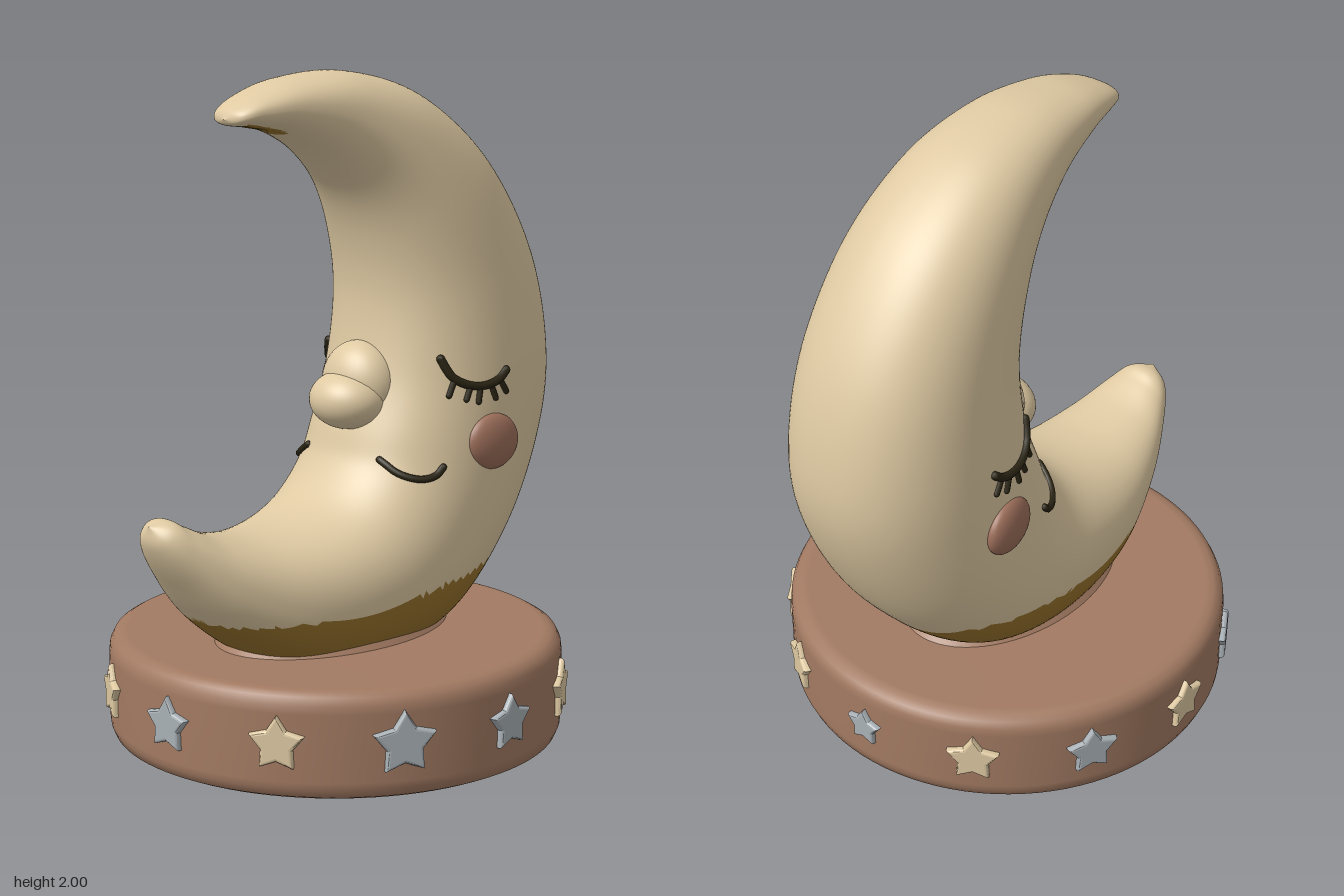
import * as THREE from 'three';

const mat = (name, color) => {
  const m = new THREE.MeshStandardMaterial({ color });
  m.name = name;
  return m;
};

// Crescent sections from upper tip to lower tip: outer x, y, inner x, y, half depth
const SECTIONS = [
  [-0.463, 1.88, -0.463, 1.88, 0],
  [-0.44, 1.912, -0.445, 1.862, 0.065],
  [-0.36, 1.953, -0.38, 1.853, 0.1],
  [-0.22, 1.99, -0.27, 1.828, 0.135],
  [0.0, 2.0, -0.13, 1.755, 0.175],
  [0.25, 1.928, -0.01, 1.64, 0.22],
  [0.5, 1.735, 0.06, 1.49, 0.26],
  [0.69, 1.44, 0.087, 1.31, 0.287],
  [0.762, 1.12, 0.06, 1.1, 0.308],
  [0.72, 0.85, 0.0, 0.93, 0.318],
  [0.56, 0.55, -0.04, 0.83, 0.322],
  [0.31, 0.31, -0.13, 0.74, 0.317],
  [0.0, 0.23, -0.25, 0.69, 0.295],
  [-0.3, 0.26, -0.4, 0.675, 0.25],
  [-0.53, 0.40, -0.55, 0.70, 0.185],
  [-0.68, 0.57, -0.65, 0.743, 0.12],
  [-0.752, 0.685, -0.70, 0.768, 0.07],
  [-0.758, 0.755, -0.758, 0.755, 0],
];

function moonGeometry() {
  const outer = new THREE.CatmullRomCurve3(SECTIONS.map(s => new THREE.Vector3(s[0], s[1], s[4])), false, 'catmullrom');
  const inner = new THREE.CatmullRomCurve3(SECTIONS.map(s => new THREE.Vector3(s[2], s[3], 0)), false, 'catmullrom');
  const rows = 170, cols = 96, pos = [];
  const soft = v => Math.sign(v) * Math.abs(v) ** 0.88;
  for (let r = 0; r <= rows; r++) {
    const o = outer.getPoint(r / rows), i = inner.getPoint(r / rows);
    for (let c = 0; c < cols; c++) {
      const a = (c / cols) * Math.PI * 2, k = soft(Math.cos(a)) / 2;
      pos.push((o.x + i.x) / 2 + (o.x - i.x) * k, (o.y + i.y) / 2 + (o.y - i.y) * k, Math.max(o.z, 0) * soft(Math.sin(a)));
    }
  }
  // Faces near the foot, and a spot under the upper tip, take the second colour
  const body = [], band = [];
  const painted = (x, y, z, inside) => {
    const limit = 0.44 + 0.065 * THREE.MathUtils.smoothstep(x, -0.2, 0.42) - 0.05 * THREE.MathUtils.smoothstep(x, 0.44, 0.54);
    return y < limit || (inside && y > 1.8 && x > -0.42 && x < -0.27 && Math.abs(z) < 0.06);
  };
  const tri = (...t) => {
    const mid = k => (pos[t[0] * 3 + k] + pos[t[1] * 3 + k] + pos[t[2] * 3 + k]) / 3;
    const col = t[0] % cols;
    (painted(mid(0), mid(1), mid(2), col > cols / 4 && col < cols * 0.75) ? band : body).push(...t);
  };
  for (let r = 0; r < rows; r++) {
    for (let c = 0; c < cols; c++) {
      const n = (c + 1) % cols, p = r * cols, q = p + cols;
      tri(p + c, p + n, q + c);
      tri(p + n, q + n, q + c);
    }
  }
  const g = new THREE.BufferGeometry();
  g.setAttribute('position', new THREE.Float32BufferAttribute(pos, 3));
  g.setIndex([...body, ...band]);
  g.addGroup(0, body.length, 0);
  g.addGroup(body.length, band.length, 1);
  g.computeVertexNormals();
  return g;
}

function starGeometry(radius) {
  const s = new THREE.Shape();
  for (let i = 0; i < 10; i++) {
    const a = Math.PI / 2 + (i * Math.PI) / 5, r = i % 2 ? radius * 0.55 : radius;
    s[i ? 'lineTo' : 'moveTo'](Math.cos(a) * r, Math.sin(a) * r);
  }
  s.closePath();
  return new THREE.ExtrudeGeometry(s, { depth: 0.02, bevelThickness: 0.01, bevelSize: 0.01, bevelSegments: 3 });
}

export function createModel() {
  const cream = mat('cream', 0xdec9a2), brown = mat('brown', 0xa27a62), mustard = mat('mustard', 0x96712c);
  const silver = mat('silver', 0xa9b1b6), dark = mat('dark', 0x2a2413), blush = mat('blush', 0x9c6e5a);
  const model = new THREE.Group();
  const add = (name, geo, material, x = 0, y = 0, z = 0, parent = model) => {
    const m = new THREE.Mesh(geo, material);
    m.name = name;
    m.position.set(x, y, z);
    parent.add(m);
    return m;
  };

  // Round plinth with softened rims
  const cx = -0.028, R = 0.69;
  const profile = [[0, 0.004], [0.64, 0.004], [0.655, 0.005], [0.678, 0.016], [0.688, 0.04], [R, 0.06], [R, 0.26],
    [0.687, 0.285], [0.676, 0.307], [0.655, 0.319], [0.63, 0.322], [0.5, 0.318], [0, 0.318]];
  add('plinth', new THREE.LatheGeometry(profile.map(p => new THREE.Vector2(...p)), 96), brown, cx);
  const collar = add('collar', new THREE.CylinderGeometry(0.385, 0.43, 0.04, 64), brown, -0.04, 0.324);
  collar.scale.z = 0.66;

  // Stars around the plinth, starting at the front
  const order = [silver, cream, cream, silver, cream, silver, cream, silver, cream, silver, cream, silver];
  order.forEach((m, i) => {
    const a = (i * Math.PI) / 6 + 0.04;
    const size = i === 11 ? 0.083 : i === 3 ? 0.05 : i === 1 ? 0.077 : 0.07;
    const star = add('star', starGeometry(size), m, cx + Math.sin(a) * 0.677, 0.172, Math.cos(a) * 0.677);
    star.rotation.y = a;
  });

  // Crescent moon and nose
  const moon = add('moon', moonGeometry(), [cream, mustard]);
  const nose = add('nose', new THREE.SphereGeometry(1, 40, 28), cream, 0.025, 1.015, 0);
  nose.scale.set(0.112, 0.09, 0.125);
  const bridge = add('noseBridge', new THREE.SphereGeometry(1, 32, 24), cream, 0.075, 1.06, 0);
  bridge.scale.set(0.1, 0.13, 0.13);

  // Face features follow the moon's surface, on both sides
  const ray = new THREE.Raycaster();
  const depth = (x, y) => {
    ray.set(new THREE.Vector3(x, y, 2), new THREE.Vector3(0, 0, -1));
    const hit = ray.intersectObject(moon)[0];
    return hit ? hit.point.z : 0.1;
  };
  const lashes = [[0.205, 1.085, 0.185, 1.04], [0.25, 1.06, 0.235, 1.025], [0.285, 1.06, 0.275, 1.015],
    [0.325, 1.06, 0.34, 1.02], [0.36, 1.075, 0.385, 1.035]];
  for (const side of [1, -1]) {
    const face = new THREE.Group();
    face.name = side > 0 ? 'frontFace' : 'backFace';
    model.add(face);
    const stroke = (name, pts, r) => {
      const flat = new THREE.CatmullRomCurve3(pts.map(p => new THREE.Vector3(p[0], p[1], 0)));
      const path = flat.getPoints(10).map(p => new THREE.Vector3(p.x, p.y, side * (depth(p.x, p.y) + 0.004)));
      add(name, new THREE.TubeGeometry(new THREE.CatmullRomCurve3(path), 32, r, 8), dark, 0, 0, 0, face);
      for (const end of [path[0], path[path.length - 1]]) {
        add(name + 'End', new THREE.SphereGeometry(r, 8, 6), dark, end.x, end.y, end.z, face);
      }
    };
    stroke('eyelid', [[0.175, 1.15], [0.2, 1.095], [0.25, 1.067], [0.31, 1.063], [0.36, 1.078], [0.388, 1.1]], 0.013);
    lashes.forEach(([a, b, c, d]) => stroke('eyelash', [[a, b], [c, d]], 0.009));
    stroke('mouth', [[0.005, 0.855], [0.025, 0.82], [0.07, 0.802], [0.115, 0.81], [0.14, 0.833]], 0.011);
    const cheek = add('cheek', new THREE.SphereGeometry(1, 32, 20), blush, 0.33, 0.888, side * (depth(0.33, 0.888) - 0.005), face);
    cheek.scale.set(0.097, 0.086, 0.04);
    cheek.rotation.y = -side * 0.12;
  }
  return model;
}
